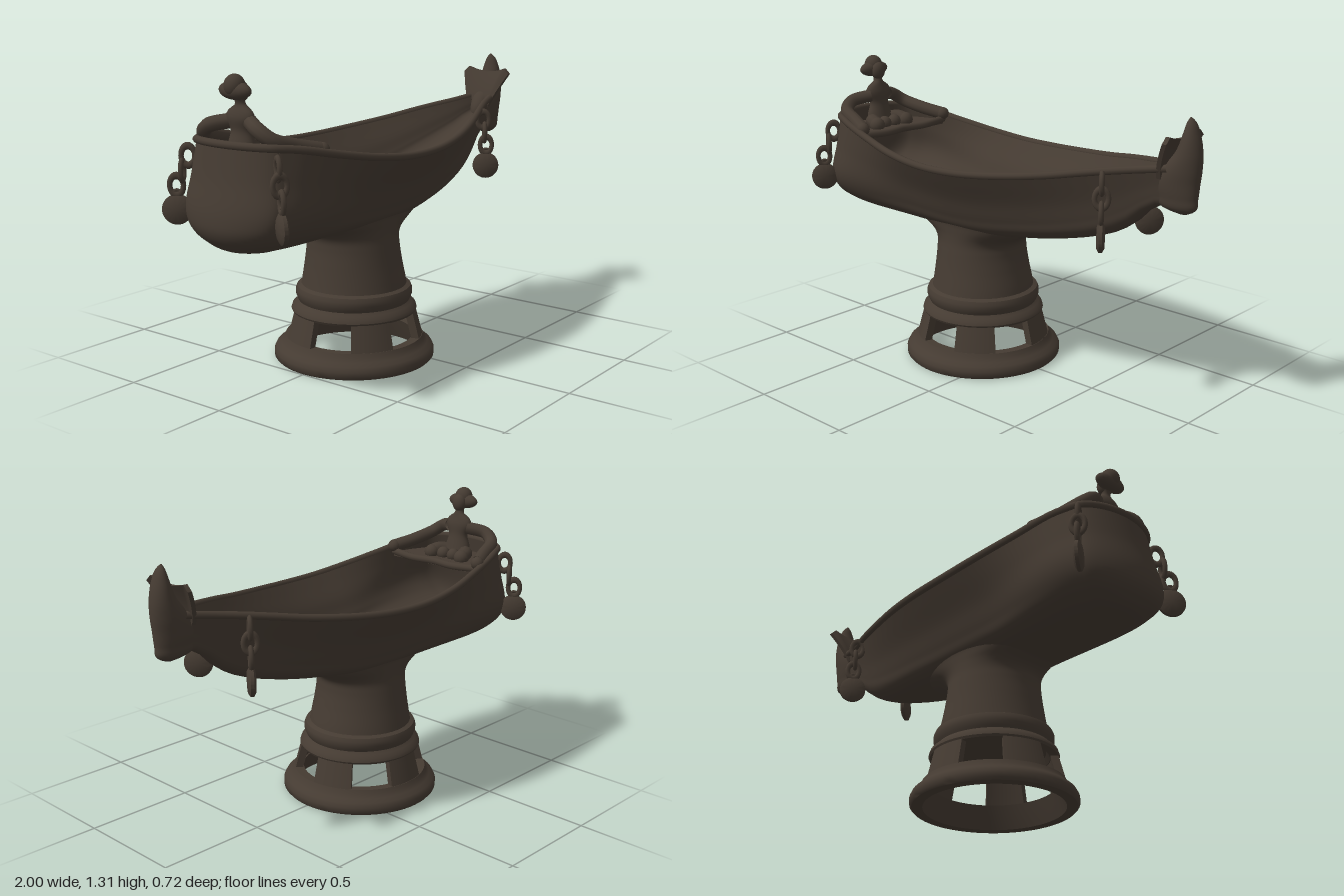
import * as THREE from 'three';
import { mergeVertices, toCreasedNormals } from 'three/addons/utils/BufferGeometryUtils.js';
import { ParametricGeometry } from 'three/addons/geometries/ParametricGeometry.js';

const bronze = new THREE.MeshStandardMaterial({ color: 0x453b32, side: THREE.DoubleSide });
bronze.name = 'dark bronze';

const V = (x, y, z) => new THREE.Vector3(x, y, z);
const { lerp: mix, smoothstep } = THREE.MathUtils;

function add(parent, name, geometry, x = 0, y = 0, z = 0) {
  const mesh = new THREE.Mesh(geometry, bronze);
  mesh.name = name;
  mesh.position.set(x, y, z);
  parent.add(mesh);
  return mesh;
}

// Smooth function through [input, output] pairs
function curve(pairs) {
  const f = new THREE.CubicInterpolant(
    new Float32Array(pairs.map(p => p[0])), new Float32Array(pairs.map(p => p[1])), 1, new Float32Array(1));
  return t => f.evaluate(t)[0];
}

function surface(fn, nu, nv) {
  let g = new ParametricGeometry((u, v, p) => p.copy(fn(u, v)), nu, nv);
  g.deleteAttribute('uv');
  g.deleteAttribute('normal');
  g = mergeVertices(g, 1e-5);
  g.computeVertexNormals();
  return g;
}

// Stack of horizontal ellipses: [y, centre x, radius x, radius z]
function ellipseLoft(rows, nv) {
  const [cx, rx, rz] = [1, 2, 3].map(k => curve(rows.map(r => [r[0], r[k]])));
  const y0 = rows[0][0], y1 = rows[rows.length - 1][0];
  return surface((u, v) => {
    const y = mix(y0, y1, v), a = u * Math.PI * 2;
    return V(cx(y) + Math.sin(a) * rx(y), y, Math.cos(a) * rz(y));
  }, 48, nv);
}

function warp(geometry, fn) {
  const p = geometry.attributes.position;
  for (let i = 0; i < p.count; i++) {
    const q = fn(p.getX(i), p.getY(i), p.getZ(i));
    p.setXYZ(i, q.x, q.y, q.z);
  }
  geometry.computeVertexNormals();
  return geometry;
}

const lathe = pts => toCreasedNormals(
  new THREE.LatheGeometry(pts.map(p => new THREE.Vector2(...p)), 64), 0.7);

const tube = (pts, r, n = 24) =>
  new THREE.TubeGeometry(new THREE.CatmullRomCurve3(pts), n, r, 10);

// Hull lines: s runs stern to bow, t runs rim to keel
const rimY = curve([[-1, 1.055], [-0.8, 1.035], [-0.6, 0.995], [-0.4, 0.96], [-0.2, 0.94], [0, 0.94],
  [0.2, 0.955], [0.4, 0.98], [0.6, 1.015], [0.8, 1.045], [0.9, 1.06]]);
const keelY = curve([[-1, 0.6], [-0.5, 0.605], [0, 0.61], [0.2, 0.635], [0.4, 0.67], [0.6, 0.73],
  [0.7, 0.79], [0.8, 0.88], [0.9, 0.9]]);
const halfWidth = curve([[0, 0.19], [0.05, 0.22], [0.1, 0.255], [0.19, 0.292], [0.3, 0.33], [0.41, 0.345],
  [0.52, 0.335], [0.63, 0.295], [0.74, 0.23], [0.85, 0.15], [0.92, 0.095], [1, 0.05]]);
const midFullness = curve([[0, 1], [0.15, 0.92], [0.43, 0.77], [0.7, 0.66], [0.87, 0.56], [0.95, 0.4],
  [0.985, 0.22], [1, 0]]);
const sternFullness = curve([[0, 1], [0.3, 1.06], [0.6, 1.1], [0.75, 1], [0.87, 0.8], [0.95, 0.52],
  [0.985, 0.28], [1, 0]]);
const sternX = curve([[0, -0.945], [0.3, -0.968], [0.65, -1], [0.77, -0.995], [0.87, -0.965], [0.95, -0.91],
  [1, -0.82]]);

function hullPoint(a, t, inset = 0, depth = 1) {
  const s = a * a;
  const x = mix(sternX(t * depth) + inset, 0.88, s);
  const k = 1 - Math.min(s / 0.05, 1);
  const w = Math.max(halfWidth(s) - inset, 0.02) * Math.sqrt(1 - k * k);
  const full = mix(sternFullness(t), midFullness(t), smoothstep(s, 0.03, 0.36));
  return V(x, mix(rimY(x), keelY(x), t * depth), Math.sign(a) * w * Math.max(full, 0));
}

// The hollow grows shallower towards the bow
const innerPoint = (a, t) => hullPoint(a, t, 0.018, mix(0.76, 0.42, smoothstep(a * a, 0.5, 0.97)));

function buildHull(root) {
  const hull = new THREE.Group();
  hull.name = 'boat';
  add(hull, 'outerHull', surface((u, v) => hullPoint(1 - 2 * u, 1 - (1 - v) ** 1.8), 120, 36));
  add(hull, 'innerHull', surface((u, v) => innerPoint(2 * u - 1, 1 - (1 - v) ** 1.8), 120, 36));
  const rim = [];
  for (let i = -30; i <= 30; i++) rim.push(hullPoint(i / 30, 0));
  add(hull, 'gunwale', tube(rim, 0.016, 140));
  // Stern deck with a rounded, wavy front edge
  const outline = [];
  for (let i = -12; i <= 12; i++) {
    const p = hullPoint(i / 12 * 0.39, 0.1, 0.012);
    outline.push(new THREE.Vector2(p.x, -p.z));
  }
  const front = [V(-0.665, 0.99, 0.26), V(-0.645, 0.985, 0.12), V(-0.66, 0.985, 0), V(-0.645, 0.985, -0.12),
    V(-0.665, 0.99, -0.26)];
  const deck = new THREE.Shape(outline);
  const deckGeo = new THREE.ExtrudeGeometry(deck, { depth: 0.02, bevelEnabled: false });
  add(hull, 'sternDeck', deckGeo.rotateX(-Math.PI / 2), 0, 0.965, 0);
  add(hull, 'deckEdge', tube(front, 0.017, 40));
  // Prow blade with a flared collar behind it
  add(hull, 'prowBlade', ellipseLoft([[0.875, 0.93, 0.02, 0.015], [0.89, 0.91, 0.07, 0.038],
    [0.94, 0.9, 0.09, 0.052], [1, 0.9, 0.095, 0.06], [1.05, 0.915, 0.085, 0.062], [1.12, 0.945, 0.054, 0.054],
    [1.2, 0.953, 0.03, 0.038], [1.245, 0.95, 0.014, 0.018], [1.26, 0.946, 0.002, 0.003]], 40));
  add(hull, 'prowCollar', warp(new THREE.BoxGeometry(2, 1, 0.02, 20, 8, 1), (u, h, d) => {
    const v = h + 0.5;
    const corner = Math.max(Math.abs(u) - 0.8, 0) * 0.18;
    return V(0.845 + 0.07 * v ** 1.4 + d, 1.01 + (0.165 + 0.03 * u * u - corner) * v, -u * (0.055 + 0.072 * v));
  }));
  root.add(hull);
}

function buildPedestal(root) {
  const base = new THREE.Group();
  base.name = 'pedestal';
  base.position.x = -0.15;
  add(base, 'foot', lathe([[0.262, 0.1], [0.28, 0.05], [0.3, 0], [0.345, 0], [0.354, 0.01], [0.355, 0.035],
    [0.345, 0.055], [0.325, 0.068], [0.312, 0.085], [0.304, 0.102], [0.262, 0.1]]));
  // Five uprights leave five windows
  for (let k = 0; k < 5; k++) {
    add(base, 'upright', toCreasedNormals(warp(new THREE.BoxGeometry(1, 1, 1, 12, 1, 1), (x, y, z) => {
      const a = (36 + 72 * k + x * 36) * Math.PI / 180;
      const r = mix(0.303, 0.272, y + 0.5) + (z - 0.5) * 0.035;
      return V(r * Math.sin(a), mix(0.097, 0.218, y + 0.5), r * Math.cos(a));
    }), 0.7));
  }
  add(base, 'collar', lathe([[0, 0.24], [0.22, 0.24], [0.235, 0.214], [0.272, 0.212], [0.277, 0.222],
    [0.272, 0.238], [0.256, 0.25], [0.245, 0.262], [0.25, 0.272], [0.257, 0.29], [0.257, 0.31],
    [0.25, 0.326], [0.237, 0.332], [0.23, 0.335]]));
  add(base, 'stem', ellipseLoft([[0.325, 0, 0.232, 0.234], [0.36, 0, 0.226, 0.228], [0.44, -0.003, 0.212, 0.214],
    [0.52, -0.005, 0.203, 0.203], [0.56, -0.005, 0.207, 0.198], [0.585, -0.003, 0.228, 0.197],
    [0.605, 0, 0.265, 0.197], [0.625, 0, 0.32, 0.198], [0.65, 0, 0.38, 0.2], [0.67, 0, 0.4, 0.205]], 44));
  root.add(base);
}

// Chain of three links with a hanging disc, turned to stand out from the hull
function buildChain(root, name, x, z, angle, lean) {
  const chain = new THREE.Group();
  chain.name = name;
  chain.position.set(x, 0, z);
  chain.rotation.y = angle;
  [0.975, 0.915, 0.855].forEach((y, i) => {
    const link = add(chain, 'link', new THREE.TorusGeometry(0.028, 0.011, 8, 20), -lean * (2 - i) / 2, y, 0);
    link.scale.y = 1.4;
    link.rotation.y = i % 2 ? Math.PI / 2 : 0;
  });
  const disc = add(chain, 'disc', lathe([[0, -0.018], [0.045, -0.016], [0.061, -0.007], [0.061, 0.007],
    [0.045, 0.016], [0, 0.018]]), 0, 0.757, 0);
  disc.rotation.x = Math.PI / 2;
  add(chain, 'discLoop', new THREE.TorusGeometry(0.014, 0.007, 8, 16), 0, 0.822, 0);
  root.add(chain);
}

function buildRower(root) {
  const rower = new THREE.Group();
  rower.name = 'seatedFigure';
  add(rower, 'torso', ellipseLoft([[0.98, -0.83, 0.05, 0.075], [1.04, -0.835, 0.042, 0.062],
    [1.09, -0.835, 0.032, 0.05], [1.14, -0.84, 0.035, 0.07], [1.17, -0.84, 0.027, 0.055],
    [1.19, -0.838, 0.02, 0.024], [1.23, -0.85, 0.022, 0.024]], 24));
  add(rower, 'head', new THREE.SphereGeometry(1, 24, 16), -0.868, 1.264, 0).scale.set(0.042, 0.046, 0.042);
  add(rower, 'face', new THREE.SphereGeometry(1, 16, 12), -0.836, 1.24, 0).scale.set(0.03, 0.042, 0.036);
  add(rower, 'hair', new THREE.SphereGeometry(1, 20, 14), -0.866, 1.246, 0).scale.set(0.036, 0.036, 0.08);
  for (const s of [1, -1]) {
    add(rower, 'arm', tube([V(-0.838, 1.125, s * 0.05), V(-0.88, 1.105, s * 0.13), V(-0.86, 1.07, s * 0.18),
      V(-0.76, 1.04, s * 0.215), V(-0.67, 1.02, s * 0.25)], 0.03));
    add(rower, 'hand', new THREE.SphereGeometry(0.03, 14, 10), -0.66, 1.018, s * 0.255);
    add(rower, 'leg', tube([V(-0.84, 1.0, s * 0.04), V(-0.79, 1.01, s * 0.08), V(-0.75, 1.0, s * 0.09)], 0.034));
    add(rower, 'knee', new THREE.SphereGeometry(0.036, 14, 10), -0.75, 1.0, s * 0.09);
    add(rower, 'foot', new THREE.SphereGeometry(0.032, 14, 10), -0.765, 1.0, s * 0.03);
  }
  root.add(rower);
}

export function createModel() {
  const root = new THREE.Group();
  root.name = 'footedBoatVessel';
  buildPedestal(root);
  buildHull(root);
  buildRower(root);
  for (const s of [1, -1]) {
    const side = s > 0 ? 'left' : 'right';
    buildChain(root, side + 'BowChain', 0.655, s * 0.165, -s * 0.93, 0.015);
    buildChain(root, side + 'SternChain', -0.922, s * 0.28, -s * 2.15, 0.05);
  }
  return root;
}
